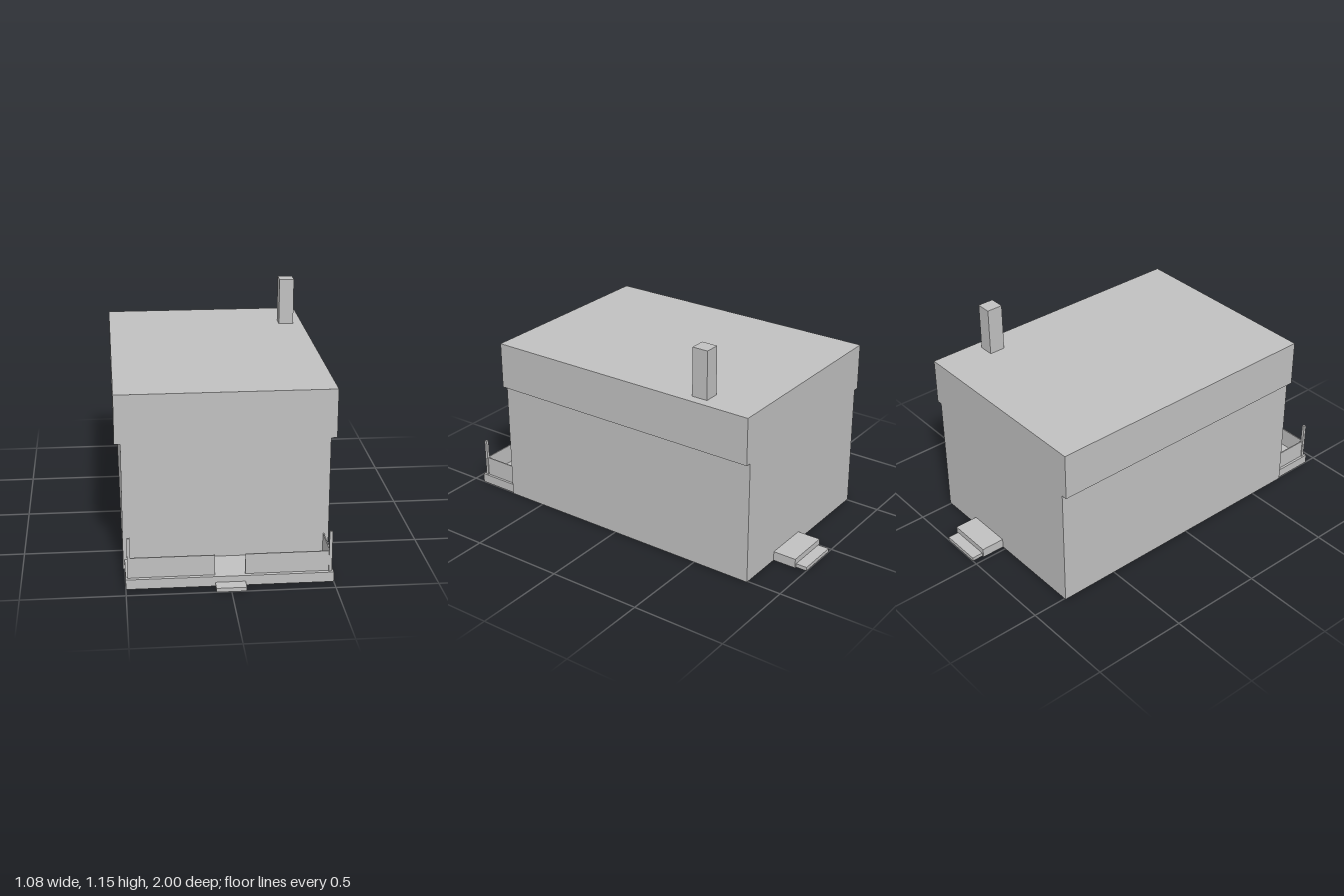
import * as THREE from 'three';

const grey = new THREE.MeshStandardMaterial({ color: 0xc0c0c0 });
grey.name = 'plain grey';

// Box given by its limits on each axis
function block(parent, name, [x0, x1], [y0, y1], [z0, z1]) {
  const mesh = new THREE.Mesh(new THREE.BoxGeometry(x1 - x0, y1 - y0, z1 - z0), grey);
  mesh.position.set((x0 + x1) / 2, (y0 + y1) / 2, (z0 + z1) / 2);
  mesh.name = name;
  parent.add(mesh);
}

export function createModel() {
  const model = new THREE.Group();
  model.name = 'cabin';

  // Main volume, overhanging flat roof and chimney
  block(model, 'walls', [-0.508, 0.508], [0, 0.655], [-0.815, 0.712]);
  block(model, 'roof', [-0.538, 0.538], [0.655, 0.902], [-0.815, 0.712]);
  block(model, 'chimney', [0.408, 0.488], [0.902, 1.155], [-0.553, -0.468]);

  // Front porch and its step
  const porch = new THREE.Group();
  porch.name = 'porch';
  model.add(porch);
  block(porch, 'deck', [-0.5, 0.5], [0, 0.05], [0.712, 0.936]);
  block(porch, 'frontStep', [-0.073, 0.073], [0, 0.02], [0.936, 1]);

  // Railing panels and corner posts, mirrored left and right
  for (const side of [-1, 1]) {
    const label = side > 0 ? 'left' : 'right';
    const span = (a, b) => (side > 0 ? [a, b] : [-b, -a]);
    block(porch, label + 'FrontRail', span(0.073, 0.477), [0.05, 0.153], [0.91, 0.916]);
    block(porch, label + 'SideRail', span(0.481, 0.487), [0.05, 0.153], [0.712, 0.906]);
    block(porch, label + 'Post', span(0.477, 0.492), [0.05, 0.256], [0.906, 0.921]);
  }

  // Two steps at the back door
  block(model, 'backUpperStep', [0.02, 0.26], [0, 0.05], [-0.94, -0.815]);
  block(model, 'backLowerStep', [0.03, 0.25], [0, 0.02], [-1, -0.94]);

  return model;
}
